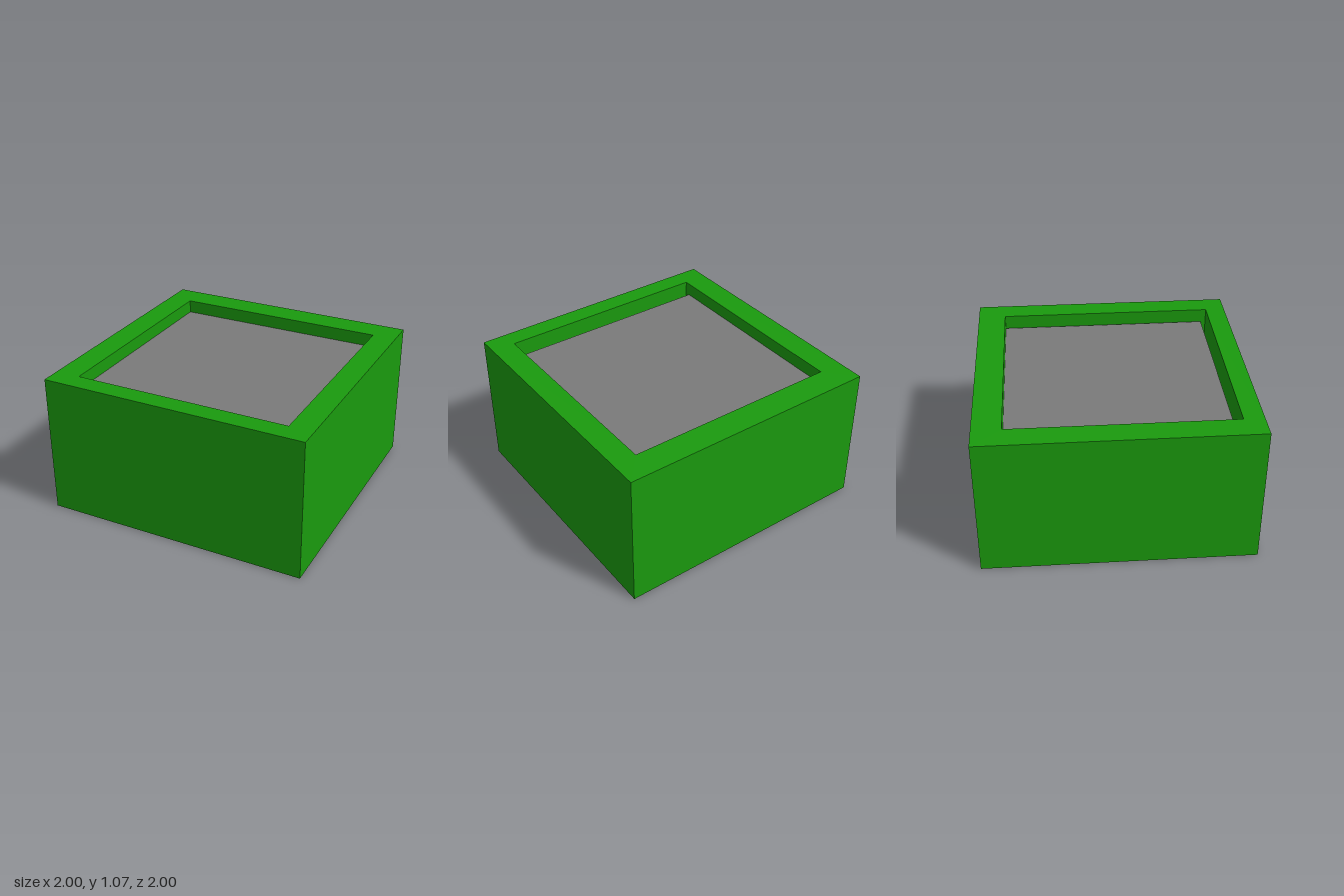
import * as THREE from 'three';

// Four corners of a level rectangle, counter-clockwise seen from above
const ring = (y, x0, x1, z0, z1) => [[x0, y, z1], [x1, y, z1], [x1, y, z0], [x0, y, z0]];

// Skin a stack of rectangles, closing the first and last with caps
function skinRings(rings) {
  const points = [];
  const quad = (a, b, c, d) => points.push(...a, ...b, ...c, ...a, ...c, ...d);
  for (let i = 0; i < rings.length - 1; i++) {
    const lower = rings[i], upper = rings[i + 1];
    for (let k = 0; k < 4; k++) {
      const n = (k + 1) % 4;
      quad(lower[k], lower[n], upper[n], upper[k]);
    }
  }
  quad(...[...rings[0]].reverse());
  quad(...rings[rings.length - 1]);
  const geometry = new THREE.BufferGeometry();
  geometry.setAttribute('position', new THREE.Float32BufferAttribute(points, 3));
  geometry.computeVertexNormals();
  return geometry;
}

export function createModel() {
  const model = new THREE.Group();
  model.name = 'planterBox';
  const height = 1.065, floorY = 0.2, fillY = 0.965;

  // Square box: outer walls, rim, inner walls and floor in one skin
  const box = new THREE.Mesh(
    skinRings([
      ring(0, -1, 1, -1, 1),
      ring(height, -1, 1, -1, 1),
      ring(height, -0.81, 0.82, -0.79, 0.85),
      ring(floorY, -0.81, 0.82, -0.79, 0.85),
    ]),
    new THREE.MeshStandardMaterial({ color: 0x1a9a0e })
  );
  box.name = 'box';
  model.add(box);

  // Grey filling, set a little below the rim with a narrow gap at the front and left
  const filling = new THREE.Mesh(
    skinRings([
      ring(floorY, -0.81, 0.805, -0.79, 0.81),
      ring(fillY, -0.81, 0.805, -0.79, 0.81),
    ]),
    new THREE.MeshStandardMaterial({ color: 0x7a7a7a })
  );
  filling.name = 'filling';
  model.add(filling);

  return model;
}
